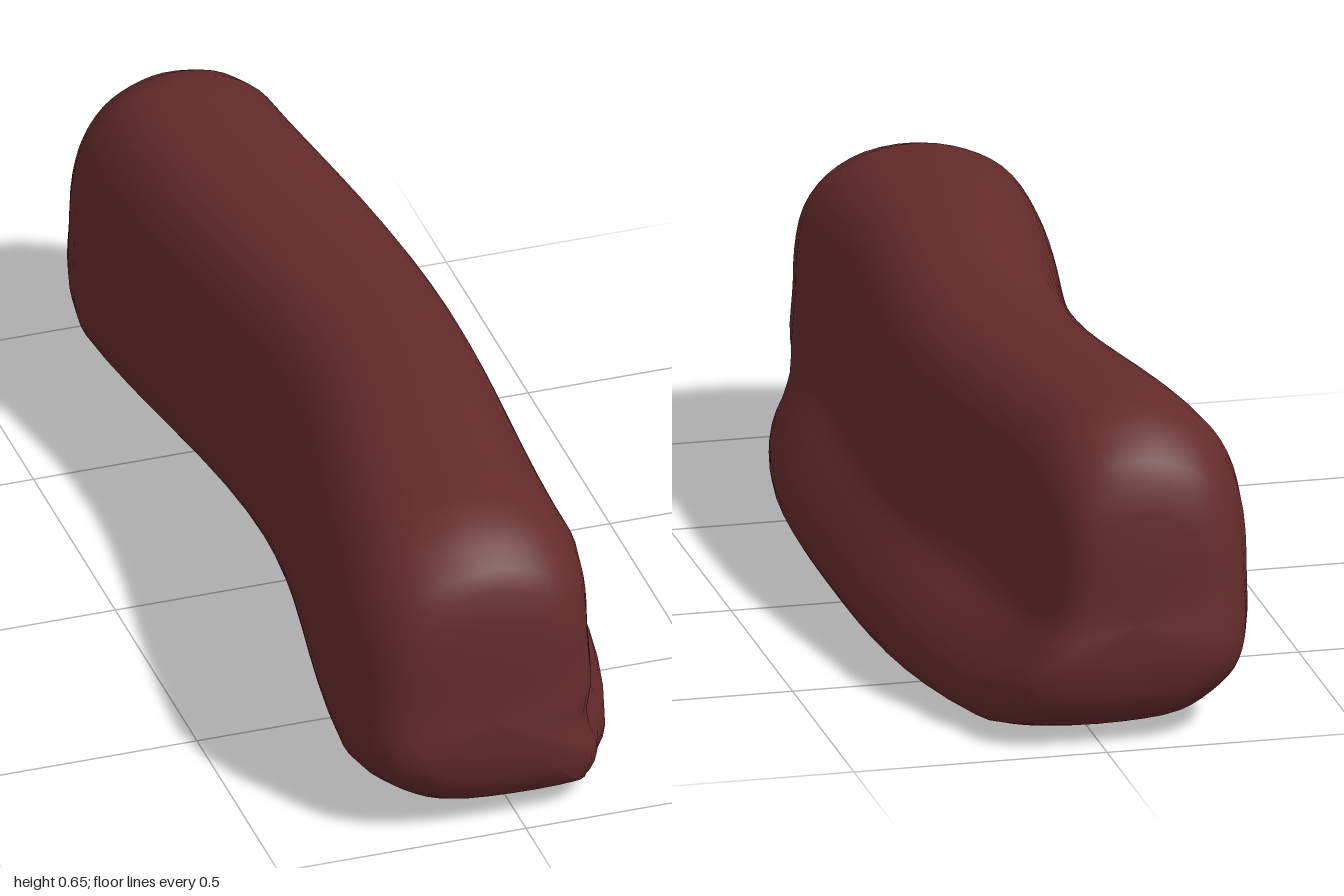
import * as THREE from 'three';

// Cross-section at mid length: a rounded block with a low foot along +x
const PROFILE = [
  [0.05, 0.004], [0.2, 0.008], [0.3, 0.03], [0.315, 0.1], [0.275, 0.175], [0.222, 0.25],
  [0.207, 0.35], [0.203, 0.44], [0.186, 0.53], [0.145, 0.594], [0.08, 0.636], [-0.01, 0.648],
  [-0.085, 0.628], [-0.145, 0.588], [-0.19, 0.52], [-0.215, 0.43], [-0.222, 0.3],
  [-0.22, 0.18], [-0.198, 0.11], [-0.15, 0.06], [-0.08, 0.02],
];

// Rounded end: [z, section scale]
const END = [[0.8, 1], [0.86, 0.955], [0.91, 0.885], [0.945, 0.8], [0.967, 0.7], [0.98, 0.55], [0.986, 0.3], [0.987, 0]];

// Sideways sweep: the hollow -x wall bends most, the +x wall bends mainly at the back,
// and the foot tapers towards both ends
function sweep(x, y, z) {
  const bend = -0.05 * (1 - Math.cos(Math.PI * Math.min(Math.abs(z), 0.9) / 0.9));
  const wall = bend * THREE.MathUtils.lerp(1, 0.6 - 0.4 * z, THREE.MathUtils.clamp((x + 0.22) / 0.42, 0, 1));
  const taper = -0.09 * Math.min(Math.abs(z / 0.8), 1.08) ** 3;
  const foot = THREE.MathUtils.smoothstep(x, 0.18, 0.31) * (1 - THREE.MathUtils.smoothstep(y, 0.2, 0.3));
  return x + THREE.MathUtils.lerp(wall, taper, foot);
}

function curvedBlock() {
  const curve = new THREE.CatmullRomCurve3(
    PROFILE.map(([x, y]) => new THREE.Vector3(x, y, 0)), true, 'centripetal');
  const n = 63;
  const section = curve.getPoints(n).slice(0, n);

  // Stations from the back end to the front end
  const stations = END.map(([z, s]) => [-z, s]).reverse();
  for (let z = -0.7; z < 0.75; z += 0.1) stations.push([z, 1]);
  stations.push(...END);

  const positions = [], index = [];
  const cx = -0.065, cy = 0.25;
  stations.forEach(([z, s], i) => {
    for (let j = 0; j < n; j++) {
      const p = section[j];
      const x = cx + (sweep(p.x, p.y, z) - cx) * s;
      // Slight waviness of the top
      const y = cy + (p.y - cy) * s + 0.01 * p.y * s * Math.cos(6 * (z - 0.4));
      // Low lip around the ends
      const lip = Math.abs(z) > 0.9 ? 0.013 * Math.exp(-(((y - 0.18) / 0.09) ** 2)) * Math.sign(z) : 0;
      positions.push(x, y, z + lip);
      if (i < stations.length - 1) {
        const a = i * n + j, b = i * n + (j + 1) % n;
        index.push(a, b, a + n, b, b + n, a + n);
      }
    }
  });
  const geometry = new THREE.BufferGeometry();
  geometry.setAttribute('position', new THREE.Float32BufferAttribute(positions, 3));
  geometry.setIndex(index);
  geometry.computeVertexNormals();
  return geometry;
}

export function createModel() {
  const group = new THREE.Group();
  const darkRed = new THREE.MeshStandardMaterial({ color: 0x642a2a });
  darkRed.name = 'dark red';
  const block = new THREE.Mesh(curvedBlock(), darkRed);
  block.name = 'curvedBlock';
  group.add(block);
  return group;
}
